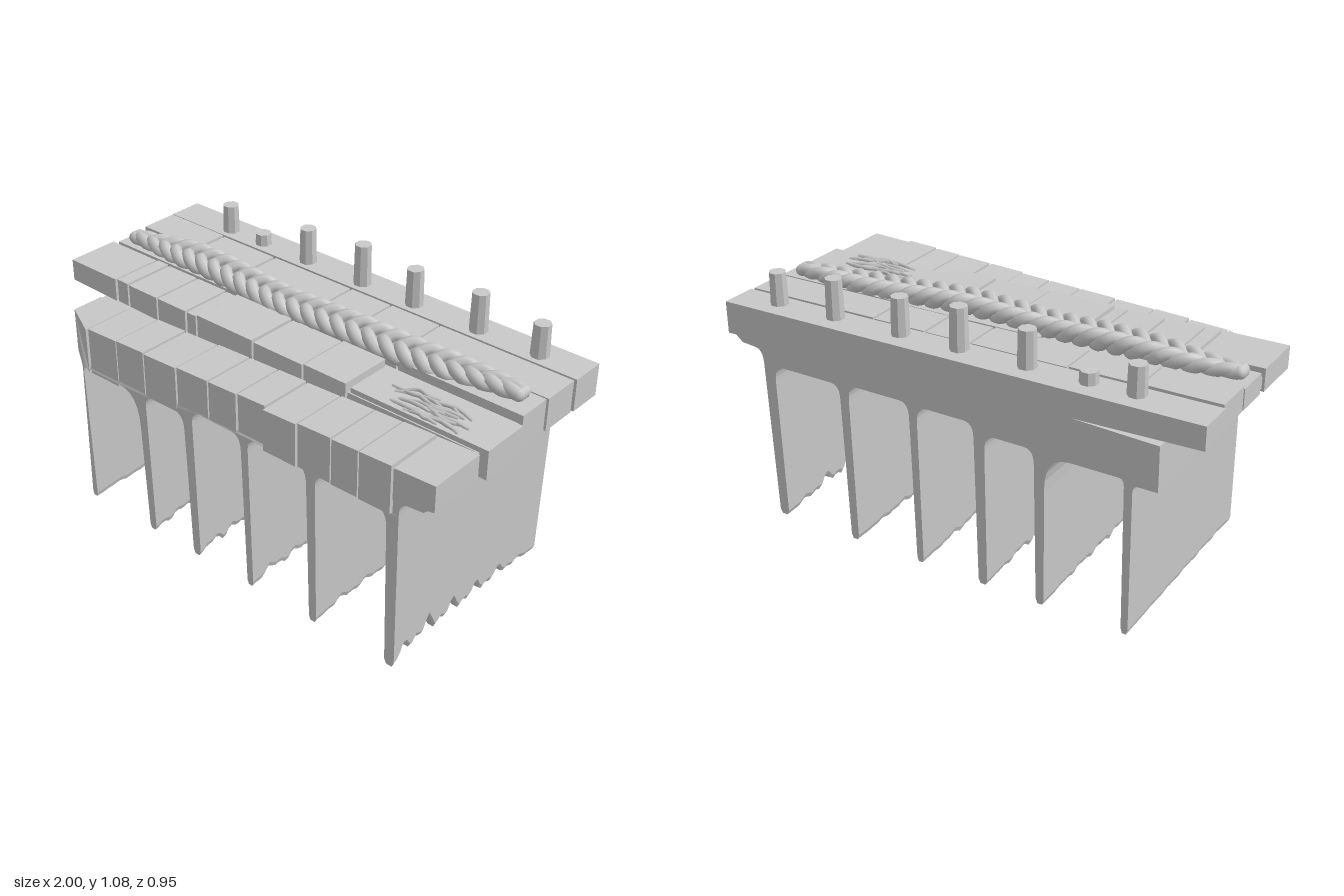
import * as THREE from 'three';

const stone = new THREE.MeshStandardMaterial({ color: 0xc8c8c8 });
stone.name = 'weathered grey';

let seed = 7;
const rand = () => { seed = (seed * 16807) % 2147483647; return seed / 2147483647; };
const vary = (a) => (rand() - 0.5) * 2 * a;

// Clipped front-left corner of the lower deck
const clipCorner = (x, z) => Math.min(z, 0.37 + Math.max(0, x + 0.84) * 0.65);

function mapVertices(geo, fn) {
  const p = geo.attributes.position, v = new THREE.Vector3();
  for (let i = 0; i < p.count; i++) {
    v.fromBufferAttribute(p, i);
    fn(v);
    p.setXYZ(i, v.x, v.y, v.z);
  }
  geo.computeVertexNormals();
  return geo;
}

function add(parent, name, geo) {
  const m = new THREE.Mesh(geo, stone);
  m.name = name;
  parent.add(m);
  return m;
}

// Block whose top and bottom follow height rules along x
function plank(parent, name, x0, x1, z0, z1, top, bottom, shape = (v) => v) {
  const geo = new THREE.BoxGeometry(1, 1, 1);
  mapVertices(geo, (v) => {
    const up = v.y > 0;
    v.x = v.x > 0 ? x1 : x0;
    v.z = v.z > 0 ? z1 : z0;
    v.y = up ? top(v.x) : bottom(v.x);
    shape(v);
  });
  return add(parent, name, geo);
}

const deckTop = (x) => 0.918 - 0.01 * x;
const deckBottom = (x) => 0.808 - 0.03 * x;
const ledgeTop = (x) => 0.82 + (x + 0.84) * 0.036;

// Fins: centre x, half thickness, depth of the torn lower edge
const fins = [
  [-0.73, 0.016, 0.01], [-0.385, 0.02, 0.035], [-0.14, 0.022, 0.05],
  [0.142, 0.017, 0.04], [0.452, 0.02, 0.03], [0.807, 0.025, 0.1],
];
// Underside height of each bay, from the left overhang to the right one
const bays = [0.63, 0.645, 0.655, 0.69, 0.695, 0.685, 0.745];

// Ledge body and fins as one comb-shaped section run through the depth
function finBody() {
  const s = new THREE.Shape();
  s.moveTo(-0.84, ledgeTop(-0.84) - 0.012);
  s.lineTo(-0.84, bays[0]);
  fins.forEach(([c, h], i) => {
    const a = bays[i], b = bays[i + 1];
    const r = i === 1 ? 0.1 : i === 0 ? 0.02 : 0.045;
    const q = i === 0 ? 0.02 : 0.04;
    s.lineTo(c - h - r, a);
    s.quadraticCurveTo(c - h, a, c - h, a - r * 1.5);
    s.lineTo(c - h * 0.85, 0.03);
    s.lineTo(c - h * 0.5, 0.01);
    s.lineTo(c + h * 0.5, 0.01);
    s.lineTo(c + h * 0.85, 0.03);
    s.lineTo(c + h, b - q * 1.5);
    s.quadraticCurveTo(c + h, b, c + h + q, b);
  });
  s.lineTo(0.93, 0.75);
  s.lineTo(0.965, 0.78);
  s.lineTo(0.965, ledgeTop(0.965) - 0.012);
  s.closePath();
  const geo = new THREE.ExtrudeGeometry(s, { depth: 0.93, steps: 48, bevelEnabled: false, curveSegments: 6 });
  geo.translate(0, 0, -0.47);
  return mapVertices(geo, (v) => {
    if (v.y < 0.1) {
      const k = fins.findIndex((f) => Math.abs(f[0] - v.x) < 0.05);
      const t = (v.z + 0.47) / 0.93;
      const fade = Math.min(1, (1 - t) * 9) * Math.min(1, t * 4) * (0.3 + 0.7 * t);
      const wave = 0.55 + 0.25 * Math.sin(v.z * 41 + k * 2) + 0.2 * Math.sin(v.z * 83 + k * 5);
      v.y += fins[k][2] * fade * wave * 1.25;
    }
    v.z *= 0.955 + 0.045 * Math.min(1, v.y / 0.8);
    if (v.y > 0.6) v.z = clipCorner(v.x, v.z);
  });
}

// Split a row into planks at the given x positions
function plankRow(parent, name, cuts, z0, z1, drop = 0, gap = 0.005) {
  for (let i = 0; i < cuts.length - 1; i++) {
    const d = vary(0.006) - drop;
    plank(parent, name, cuts[i] + gap, cuts[i + 1] - gap, z0 + vary(0.003), z1 + vary(0.003),
      (x) => deckTop(x) + d, deckBottom);
  }
}

class Strand extends THREE.Curve {
  constructor(phase) { super(); this.phase = phase; }
  getPoint(t, out = new THREE.Vector3()) {
    const x = -0.94 + 1.85 * t;
    const swell = Math.min(1, 0.25 + t * 5, 0.3 + (1 - t) * 4);
    const a = t * Math.PI * 13 + this.phase;
    const mid = -0.072 + 0.018 * Math.sin(x * 4 + 1.2) - 0.012 * x;
    const y = 0.942 - 0.018 * t * t + 0.006 * Math.sin(x * 9);
    return out.set(x, y + 0.019 * swell * Math.sin(2 * a), mid + 0.052 * swell * Math.sin(a));
  }
}

export function createModel() {
  const model = new THREE.Group();
  model.name = 'brokenPier';
  add(model, 'finBody', finBody());

  // Lower front ledge blocks
  const ledge = new THREE.Group();
  ledge.name = 'frontLedge';
  model.add(ledge);
  const cuts = [-0.84, -0.67, -0.51, -0.36, -0.19, -0.03, 0.11, 0.245, 0.4, 0.55, 0.67, 0.81, 0.985];
  for (let i = 0; i < cuts.length - 1; i++) {
    const x0 = cuts[i] + 0.004, x1 = cuts[i + 1] - 0.004;
    const low = i < 2 ? 0.632 : i === 2 ? 0.66 : i === 3 ? 0.655 : i < 11 ? 0.69 : 0.75;
    const d = vary(0.004), front = (i < 7 ? 0.455 : 0.47) + vary(0.004);
    plank(ledge, 'ledgeBlock', x0, x1, 0.236, front, (x) => ledgeTop(x) + d,
      (x) => low + (i === 11 ? 0.03 * (x - x0) / (x1 - x0) : 0),
      (v) => { v.z = clipCorner(v.x, v.z); });
  }

  // Upper deck rows, back to front
  const deck = new THREE.Group();
  deck.name = 'upperDeck';
  model.add(deck);
  plank(deck, 'backBeam', -1, 0.99, -0.476, -0.33, deckTop, deckBottom);
  plankRow(deck, 'rearPlank', [-0.995, -0.69, -0.41, -0.015, 0.18, 0.41, 0.99], -0.32, -0.162);
  plankRow(deck, 'ropePlank', [-0.995, -0.2, 0.45, 0.985], -0.15, -0.012, 0.004);
  plankRow(deck, 'frontPlank', [-1, -0.74, -0.675, -0.515, -0.36, -0.305, -0.02, 0.22, 0.42], 0.012, 0.23);
  plankRow(deck, 'frontPlank', [0.42, 1.005], 0.015, 0.215, 0.012);
  // Bed beneath the rows, closing the joints from below
  plank(deck, 'deckBed', -0.985, 0.96, -0.46, 0.22, (x) => deckTop(x) - 0.035, (x) => deckBottom(x) + 0.01);

  // Posts along the back beam
  const posts = [[-0.71, 1.04], [-0.53, 0.97], [-0.29, 1.065], [-0.012, 1.085], [0.24, 1.065], [0.535, 1.07], [0.8, 1.04]];
  for (const [x, top] of posts) {
    const h = top - 0.88;
    const geo = new THREE.CylinderGeometry(0.033, 0.037, h, 8).toNonIndexed();
    geo.rotateY(Math.PI / 8);
    geo.computeVertexNormals();
    add(model, 'post', geo).position.set(x, 0.88 + h / 2, -0.386);
  }

  // Braided rope
  const rope = new THREE.Group();
  rope.name = 'braidedRope';
  model.add(rope);
  for (let k = 0; k < 4; k++) {
    const curve = new Strand(k * Math.PI / 2);
    add(rope, 'ropeStrand', new THREE.TubeGeometry(curve, 260, 0.025, 8));
    for (const t of [0, 1]) {
      const end = add(rope, 'ropeEnd', new THREE.SphereGeometry(0.025, 8, 6));
      end.position.copy(curve.getPoint(t));
    }
  }

  // Frayed fibres on the front right plank
  const fray = new THREE.Group();
  fray.name = 'frayedFibres';
  model.add(fray);
  for (let k = 0; k < 16; k++) {
    const x = 0.45 + rand() * 0.3, z = 0.06 + rand() * 0.14, len = 0.12 + rand() * 0.14;
    const pts = [0, 1, 2, 3].map((i) => new THREE.Vector3(
      x + len * i / 3, 0.9 - 0.01 * x + (i % 3 ? 0.008 : 0), Math.min(0.21, z + vary(0.014))));
    add(fray, 'fibre', new THREE.TubeGeometry(new THREE.CatmullRomCurve3(pts), 10, 0.008, 5));
  }
  return model;
}
